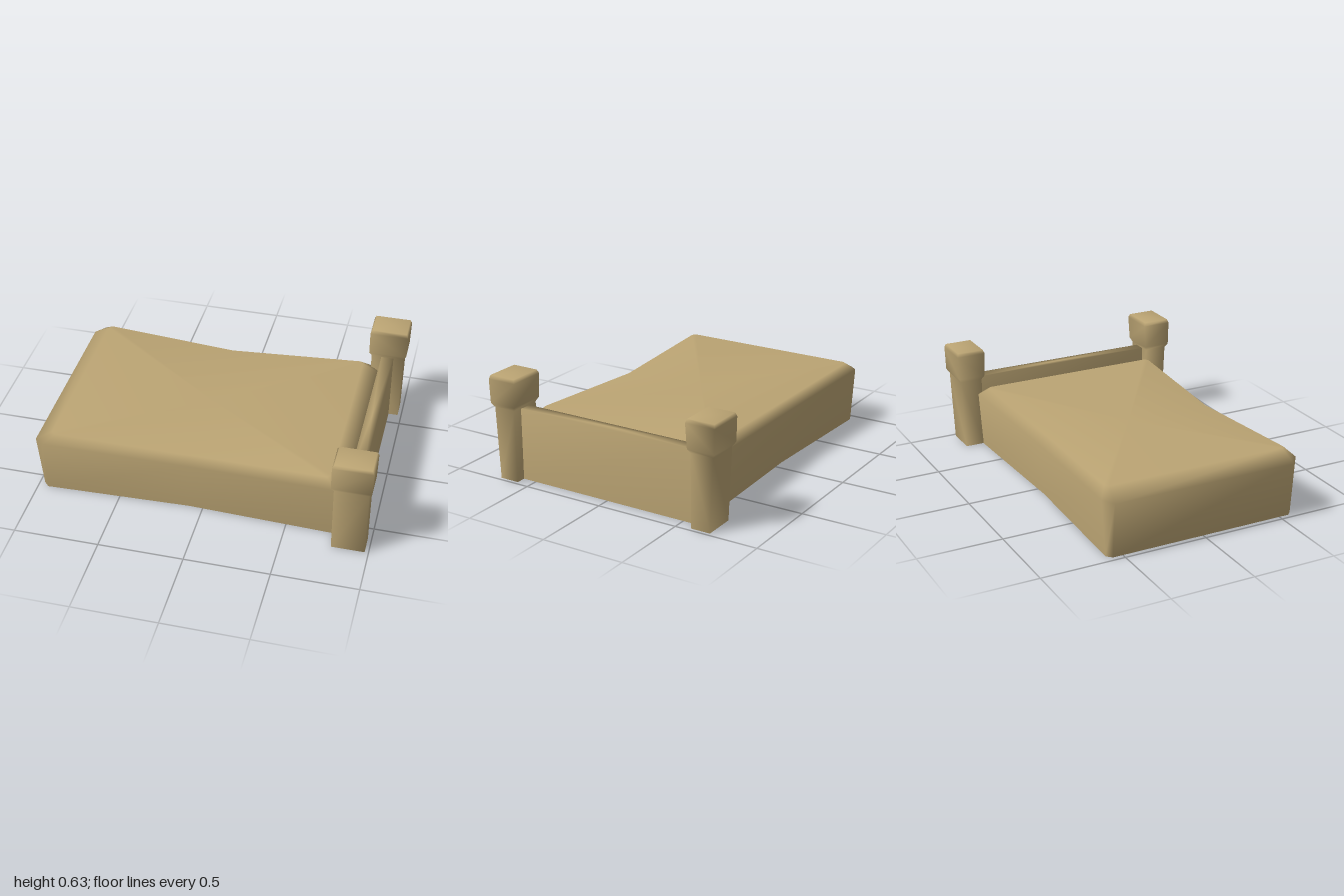
import * as THREE from 'three';

// Skin closed rings (listed bottom to top), closing the top with a fan; the bottom stays open.
function loft(rings, top) {
  const n = rings[0].length;
  const index = [];
  for (let r = 0; r < rings.length - 1; r++) {
    for (let j = 0; j < n; j++) {
      const k = (j + 1) % n;
      const a = r * n + j, b = r * n + k, c = b + n, d = a + n;
      index.push(a, b, c, a, c, d);
    }
  }
  const last = (rings.length - 1) * n, centre = rings.length * n;
  for (let j = 0; j < n; j++) index.push(centre, last + j, last + (j + 1) % n);
  const geometry = new THREE.BufferGeometry();
  geometry.setAttribute('position', new THREE.Float32BufferAttribute([...rings.flat(), top].flat(), 3));
  geometry.setIndex(index);
  geometry.computeVertexNormals();
  return geometry;
}

// Rectangular ring
const rect = (y, x0, x1, z0, z1) => [[x1, y, z1], [x1, y, z0], [x0, y, z0], [x0, y, z1]];

// Mattress outline: clipped corners, waisted sides; yEnd, yCorner and yMid set the sag
const MID = -0.08;
function outline(hx, cut, hz, zCut, zMid, yEnd, yCorner, yMid) {
  const half = [
    [hx, yEnd, hz - zCut], [hx, yEnd, zCut - hz],
    [hx - cut, yCorner, -hz], [0, yMid, -zMid], [cut - hx, yCorner, -hz],
  ];
  const opposite = half.map(([x, y, z]) => [-x, y, -z]);
  return [...half, ...opposite].map(([x, y, z]) => [x + MID, y, z]);
}

export function createModel() {
  const model = new THREE.Group();
  const wood = new THREE.MeshStandardMaterial({ color: 0xbca574, side: THREE.DoubleSide });
  wood.name = 'tan';

  const add = (name, geometry) => {
    const mesh = new THREE.Mesh(geometry, wood);
    mesh.name = name;
    model.add(mesh);
    return mesh;
  };

  // Sagging mattress block, hollow underneath
  add('mattress', loft([
    outline(0.89, 0.03, 0.59, 0.03, 0.56, 0, 0, 0),
    outline(0.92, 0.06, 0.612, 0.05, 0.578, 0.33, 0.34, 0.315),
    outline(0.82, 0.02, 0.565, 0.02, 0.53, 0.39, 0.389, 0.36),
  ], [MID, 0.36, 0]));

  // Footboard between the posts
  add('footboard', loft([
    rect(0, 0.85, 0.92, -0.6, 0.6),
    rect(0.43, 0.845, 0.92, -0.6, 0.6),
  ], [0.8825, 0.43, 0]));

  // Corner posts with thicker heads, mirrored front to back
  const post = loft([
    rect(0, 0.785, 0.978, 0.585, 0.703),
    rect(0.435, 0.785, 0.98, 0.585, 0.722),
    rect(0.46, 0.77, 0.997, 0.572, 0.738),
    rect(0.605, 0.77, 1, 0.563, 0.742),
    rect(0.627, 0.78, 0.99, 0.572, 0.735),
  ], [0.885, 0.627, 0.653]);
  add('frontPost', post);
  add('backPost', post).scale.z = -1;

  return model;
}
